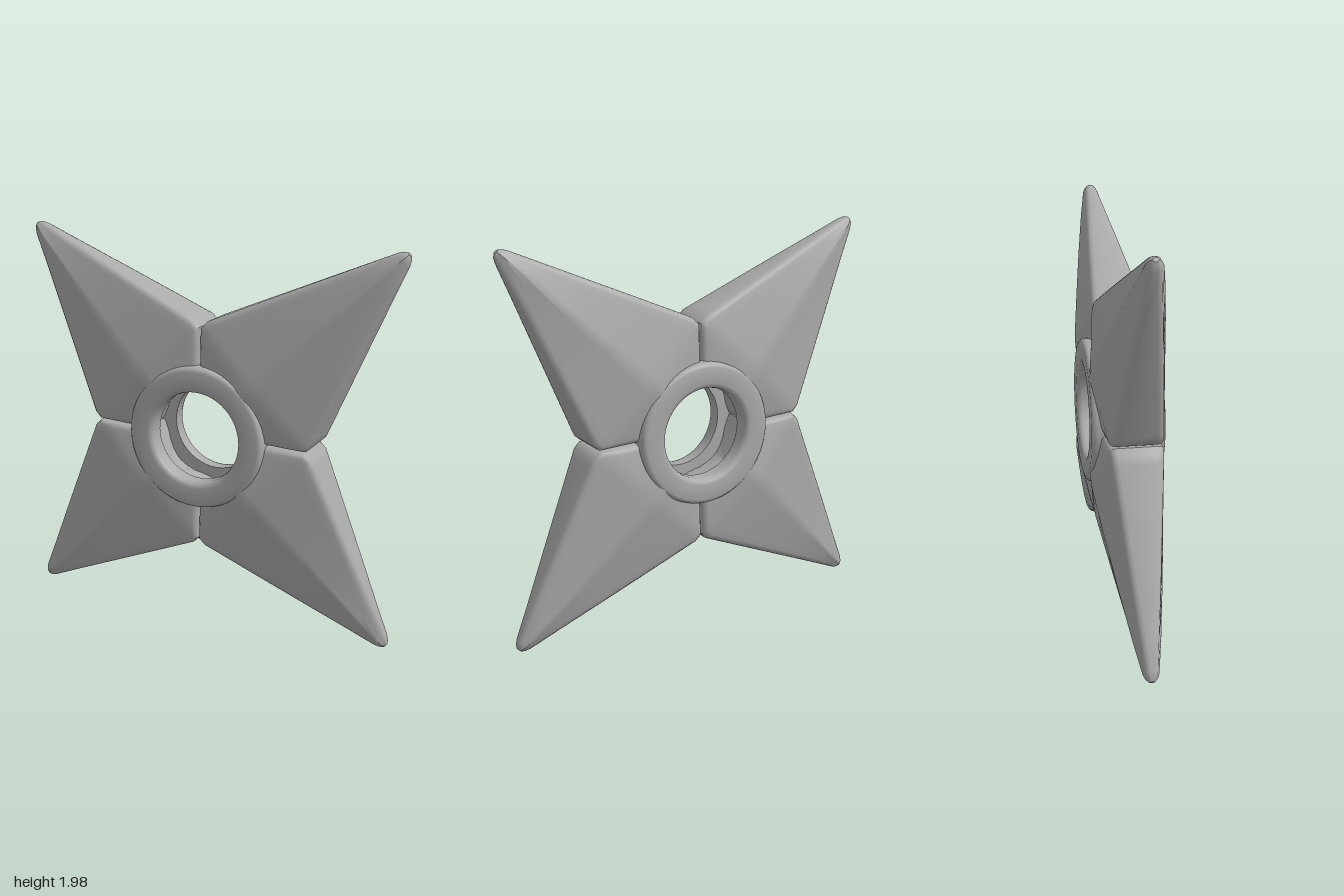
import * as THREE from 'three';
import { toCreasedNormals } from 'three/addons/utils/BufferGeometryUtils.js';

const lerp = THREE.MathUtils.lerp;
const INNER = 0.3; // radius where the blades end inside the ring

// Closed bevelled diamond section: [across -1..1, depth], counterclockwise
function section(hw, edge, ridge) {
  const c = Math.min(0.032, hw * 0.8, edge * 0.8);
  const q = [];
  for (let i = 0; i <= 3; i++) {
    const t = (i * Math.PI) / 6;
    q.push([(hw - c + c * Math.cos(t)) / hw, edge - c + c * Math.sin(t)]);
  }
  for (const f of [0.12, 0.5, 0.88, 1]) q.push([((hw - c) / hw) * (1 - f), lerp(edge, ridge, f)]);
  const back = q.slice(0, -1).reverse();
  return [
    ...q,
    ...back.map(([w, z]) => [-w, z]),
    ...q.map(([w, z]) => [-w, -z]),
    ...back.map(([w, z]) => [w, -z]),
  ];
}

// Blade lofted from the ring, past the two notches a and b, out to the tip
function bladeGeometry(a, b, tip, midAngle) {
  const mid = a.clone().add(b).multiplyScalar(0.5);
  const half = b.clone().sub(a).multiplyScalar(0.492);
  const rows = [];

  // Root: an arc that opens out into the straight line between the notches
  for (const k of [0, 0.3, 0.65, 0.93]) {
    const pts = section(lerp(0.235, 0.4, k), lerp(0.135, 0.13, k), 0.176);
    rows.push(pts.map(([w, z]) => {
      const t = midAngle + w * (Math.PI / 4) * 0.985;
      return [
        lerp(INNER * Math.cos(t), mid.x + half.x * w, k),
        lerp(INNER * Math.sin(t), mid.y + half.y * w, k), z,
      ];
    }));
  }
  // Point: straight taper with a rounded end
  const dir = tip.clone().sub(mid);
  const perp = new THREE.Vector2(-dir.y, dir.x).normalize();
  for (const [s, round] of [[0.03, 1], [0.07, 1], [0.3, 1], [0.55, 1], [0.8, 1], [0.96, 1], [0.985, 0.85], [1, 0.45]]) {
    const hw = lerp(half.length(), 0.026, s) * round;
    const edge = lerp(0.026, 0.128, Math.pow(1 - s, 0.9)) * round;
    const ridge = lerp(0.03, 0.178, Math.pow(1 - s, 0.86)) * round;
    const cx = mid.x + dir.x * s, cy = mid.y + dir.y * s;
    const across = half.clone().normalize().lerp(perp, s).normalize();
    rows.push(section(hw, edge, ridge).map(([w, z]) => [cx + across.x * w * hw, cy + across.y * w * hw, z]));
  }

  const n = rows[0].length, last = (rows.length - 1) * n;
  const pos = rows.flat(2), index = [];
  for (let i = 0; i < rows.length - 1; i++) {
    for (let j = 0; j < n; j++) {
      const p = i * n + j, r = i * n + ((j + 1) % n);
      index.push(p, r, r + n, p, r + n, p + n);
    }
  }
  // End caps
  const root = rows.length * n;
  pos.push(INNER * Math.cos(midAngle), INNER * Math.sin(midAngle), 0, tip.x, tip.y, 0);
  for (let j = 0; j < n; j++) {
    const k = (j + 1) % n;
    index.push(root, k, j, root + 1, last + j, last + k);
  }
  const g = new THREE.BufferGeometry();
  g.setAttribute('position', new THREE.Float32BufferAttribute(pos, 3));
  g.setIndex(index);
  return toCreasedNormals(g, 0.72);
}

// Flat ring with softened edges, its axis along z
function ringGeometry() {
  const profile = [
    [0.23, 0.09], [0.23, 0.15], [0.234, 0.165], [0.245, 0.175], [0.258, 0.178],
    [0.335, 0.178], [0.347, 0.174], [0.355, 0.165], [0.358, 0.15], [0.358, 0.09], [0.23, 0.09],
  ].reverse().map(([r, y]) => new THREE.Vector2(r, y));
  const g = new THREE.LatheGeometry(profile, 48);
  g.rotateX(Math.PI / 2);
  return toCreasedNormals(g, 0.72);
}

export function createModel() {
  const model = new THREE.Group();
  model.name = 'throwingStar';
  const steel = new THREE.MeshStandardMaterial({ color: 0xaaaaaa });
  steel.name = 'steelGrey';
  const v = (x, y) => new THREE.Vector2(x, y);

  // Notches between blades and blade tips, counterclockwise from the left side
  const notches = [v(0.58, -0.015), v(0.003, 0.565), v(-0.585, 0.015), v(-0.01, -0.572)];
  const tips = [v(0.986, 0.945), v(-0.966, 0.975), v(-0.986, -0.965), v(0.962, -0.985)];
  const names = ['upperLeftBlade', 'upperRightBlade', 'lowerRightBlade', 'lowerLeftBlade'];
  names.forEach((name, i) => {
    const angle = Math.PI / 4 + (i * Math.PI) / 2;
    const blade = new THREE.Mesh(bladeGeometry(notches[i], notches[(i + 1) % 4], tips[i], angle), steel);
    blade.name = name;
    blade.position.y = 1;
    model.add(blade);
  });

  // Front and back rings around the centre hole
  for (const [name, turn] of [['frontRing', 0], ['backRing', Math.PI]]) {
    const ring = new THREE.Mesh(ringGeometry(), steel);
    ring.name = name;
    ring.rotation.y = turn;
    ring.position.y = 1;
    model.add(ring);
  }
  return model;
}
